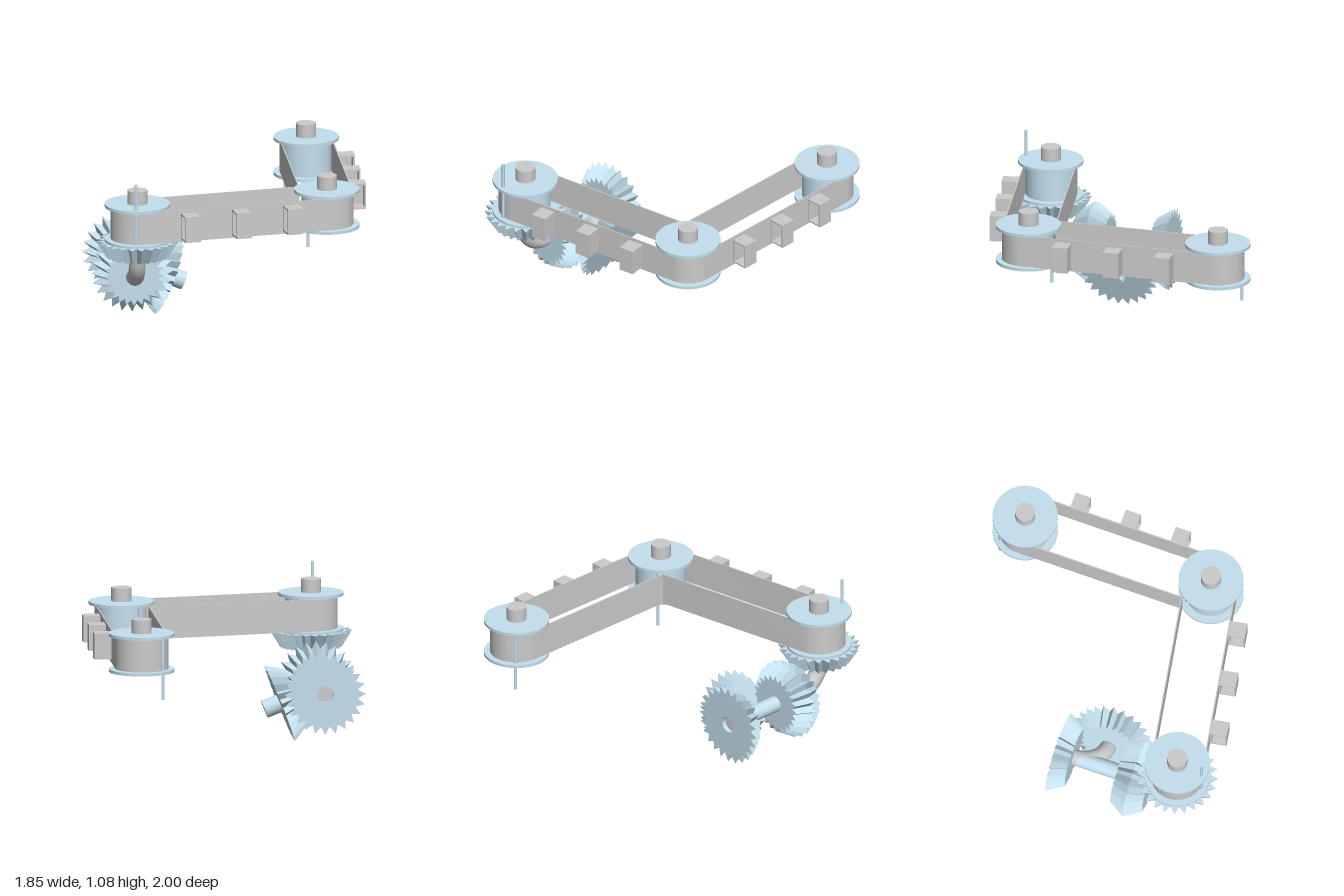
import * as THREE from 'three';
import { toCreasedNormals } from 'three/addons/utils/BufferGeometryUtils.js';

const grey = new THREE.MeshStandardMaterial({ color: 0xcccccc });
const blue = new THREE.MeshStandardMaterial({ color: 0xc4e0ee });
const blueFlat = new THREE.MeshStandardMaterial({ color: 0xc4e0ee, flatShading: true });

const V = (x, y, z) => new THREE.Vector3(x, y, z);

export function createModel() {
  const model = new THREE.Group();

  function add(name, geometry, material, parent = model) {
    const mesh = new THREE.Mesh(geometry, material);
    mesh.name = name;
    parent.add(mesh);
    return mesh;
  }

  // Cylinder between two points
  function rod(name, from, to, radius, material, parent = model, segments = 48) {
    const dir = to.clone().sub(from);
    const mesh = add(name, new THREE.CylinderGeometry(radius, radius, dir.length(), segments), material, parent);
    mesh.position.copy(from).add(to).multiplyScalar(0.5);
    mesh.quaternion.setFromUnitVectors(V(0, 1, 0), dir.normalize());
    return mesh;
  }

  // Pulleys: drum, two flanges, shaft and a thin pin beside the drum
  const A = V(-0.655, 0, 0.725), B = V(0.625, 0, 0.51), C = V(0.64, 0, -0.79);
  const pulleys = [
    [A, -0.03, 0.178, 0.66, 1.085],
    [B, -0.11, -0.13, 0.48, 0.9],
    [C, -0.125, -0.13, 0.48, 0.9],
  ];
  for (const [p, px, pz, low, high] of pulleys) {
    const pulley = new THREE.Group();
    pulley.name = 'pulley';
    pulley.position.copy(p);
    model.add(pulley);
    const upright = (name, y0, y1, r, mat, x = 0, z = 0) =>
      rod(name, V(x, y0, z), V(x, y1, z), r, mat, pulley, 64);
    upright('drum', 0.665, 0.895, 0.166, blue);
    upright('lowerFlange', 0.652, 0.672, 0.215, blue);
    upright('upperFlange', 0.89, 0.91, 0.215, blue);
    upright('pulleyShaft', 0.628, 1.0, 0.066, grey);
    upright('pin', low, high, 0.01, blue, px, pz);
  }

  // Belt: a thin band round the three pulleys with a sharp inner corner.
  // Plan angles are measured with y = -z.
  const outwardAngle = (from, to) => Math.atan2(from.z - to.z, to.x - from.x) - Math.PI / 2;
  const a1 = outwardAngle(A, B), a2 = outwardAngle(B, C);
  function beltOutline(path, r) {
    const k = r / (1 + Math.cos(a2 - a1));
    path.absarc(B.x, -B.z, r, a1, a2, false);
    path.absarc(C.x, -C.z, r, a2, a2 + Math.PI, false);
    path.lineTo(B.x - k * (Math.cos(a1) + Math.cos(a2)), -B.z - k * (Math.sin(a1) + Math.sin(a2)));
    path.absarc(A.x, -A.z, r, a1 + Math.PI, a1 + 2 * Math.PI, false);
    path.closePath();
    return path;
  }
  const beltShape = beltOutline(new THREE.Shape(), 0.175);
  beltShape.holes.push(beltOutline(new THREE.Path(), 0.167));
  const beltGeometry = new THREE.ExtrudeGeometry(beltShape, { depth: 0.215, bevelEnabled: false, curveSegments: 32 });
  beltGeometry.rotateX(-Math.PI / 2).translate(0, 0.673, 0);
  add('belt', toCreasedNormals(beltGeometry, 0.5), grey);

  // Buckets: hollow boxes on the outer runs, open in the direction of travel
  const rectangle = (path, w, h) => {
    path.moveTo(-w, -h).lineTo(w, -h).lineTo(w, h).lineTo(-w, h).closePath();
    return path;
  };
  const frame = rectangle(new THREE.Shape(), 0.056, 0.087);
  frame.holes.push(rectangle(new THREE.Path(), 0.044, 0.075));
  const wallGeometry = new THREE.ExtrudeGeometry(frame, { depth: 0.105, bevelEnabled: false });
  wallGeometry.translate(0, 0, -0.0525);
  for (const [angle, sign] of [[a1, -1], [a2, 1]]) {
    for (const s of [0.297, 0.647, 0.997]) {
      const bucket = new THREE.Group();
      bucket.name = 'bucket';
      const n = V(Math.cos(angle), 0, -Math.sin(angle));
      const travel = V(Math.sin(angle), 0, Math.cos(angle));
      bucket.position.copy(B).addScaledVector(n, 0.23).addScaledVector(travel, -sign * s);
      bucket.position.y = 0.78;
      bucket.rotation.y = angle;
      add('bucketWalls', wallGeometry, grey, bucket);
      add('bucketBack', new THREE.BoxGeometry(0.1, 0.16, 0.012), grey, bucket).position.z = -0.046;
      model.add(bucket);
    }
  }

  // Bevel gear: star extruded along +z, then tapered towards the small end
  const TEETH = 24, DEPTH = 0.11;
  const star = new THREE.Shape();
  for (let i = 0; i < TEETH * 2; i++) {
    const r = i % 2 ? 0.218 : 0.27, a = (i * Math.PI) / TEETH;
    star[i ? 'lineTo' : 'moveTo'](r * Math.cos(a), r * Math.sin(a));
  }
  star.closePath();
  star.holes.push(new THREE.Path().absarc(0, 0, 0.053, 0, Math.PI * 2, true));
  const gearGeometry = new THREE.ExtrudeGeometry(star, { depth: DEPTH, bevelEnabled: false, curveSegments: 24 });
  const pos = gearGeometry.attributes.position;
  for (let i = 0; i < pos.count; i++) {
    const x = pos.getX(i), y = pos.getY(i);
    if (pos.getZ(i) > DEPTH / 2 && Math.hypot(x, y) > 0.1) pos.setXY(i, x * 0.75, y * 0.75);
  }
  gearGeometry.computeVertexNormals();
  function gear(name, center, axis) {
    const mesh = add(name, gearGeometry, blueFlat);
    mesh.position.copy(center);
    mesh.quaternion.setFromUnitVectors(V(0, 0, 1), axis);
  }
  const X = A.x, Y = 0.36;
  const tilt = V(0.93, -0.36, 0).normalize();
  const crossing = V(X, Y, 0.185);
  const sideCenter = V(-0.385, 0.26, 0.185);
  gear('pulleyGear', V(X, 0.655, A.z), V(0, -1, 0));
  gear('doubleGearFront', V(X, Y, 0.435), V(0, 0, 1));
  gear('doubleGearBack', V(X, Y, 0.435), V(0, 0, -1));
  gear('rearGear', V(X, Y, -0.105), V(0, 0, 1));
  gear('sideGear', sideCenter, tilt.clone().negate());

  // Axles
  rod('gearAxle', V(X, Y, -0.02), V(X, Y, 0.5), 0.053, blue);
  rod('sideAxle', sideCenter.clone().addScaledVector(tilt, -0.11), sideCenter.clone().addScaledVector(tilt, 0.107), 0.06, blue);

  // Bent pipes: quarter turns from one gear face to the next
  function elbow(name, corner, u, v, reach) {
    const at = (dir, d) => corner.clone().addScaledVector(dir, d);
    const bend = new THREE.CubicBezierCurve3(at(u, reach), at(u, reach * 0.45), at(v, reach * 0.45), at(v, reach));
    add(name, new THREE.TubeGeometry(bend, 32, 0.055, 24), grey);
    for (const dir of [u, v]) rod(name + 'End', at(dir, reach), at(dir, reach + 0.08), 0.055, grey);
  }
  elbow('pulleyElbow', V(X, Y, 0.735), V(0, 1, 0), V(0, 0, -1), 0.19);
  elbow('sideElbow', crossing, V(0, 0, -1), tilt, 0.18);

  return model;
}
